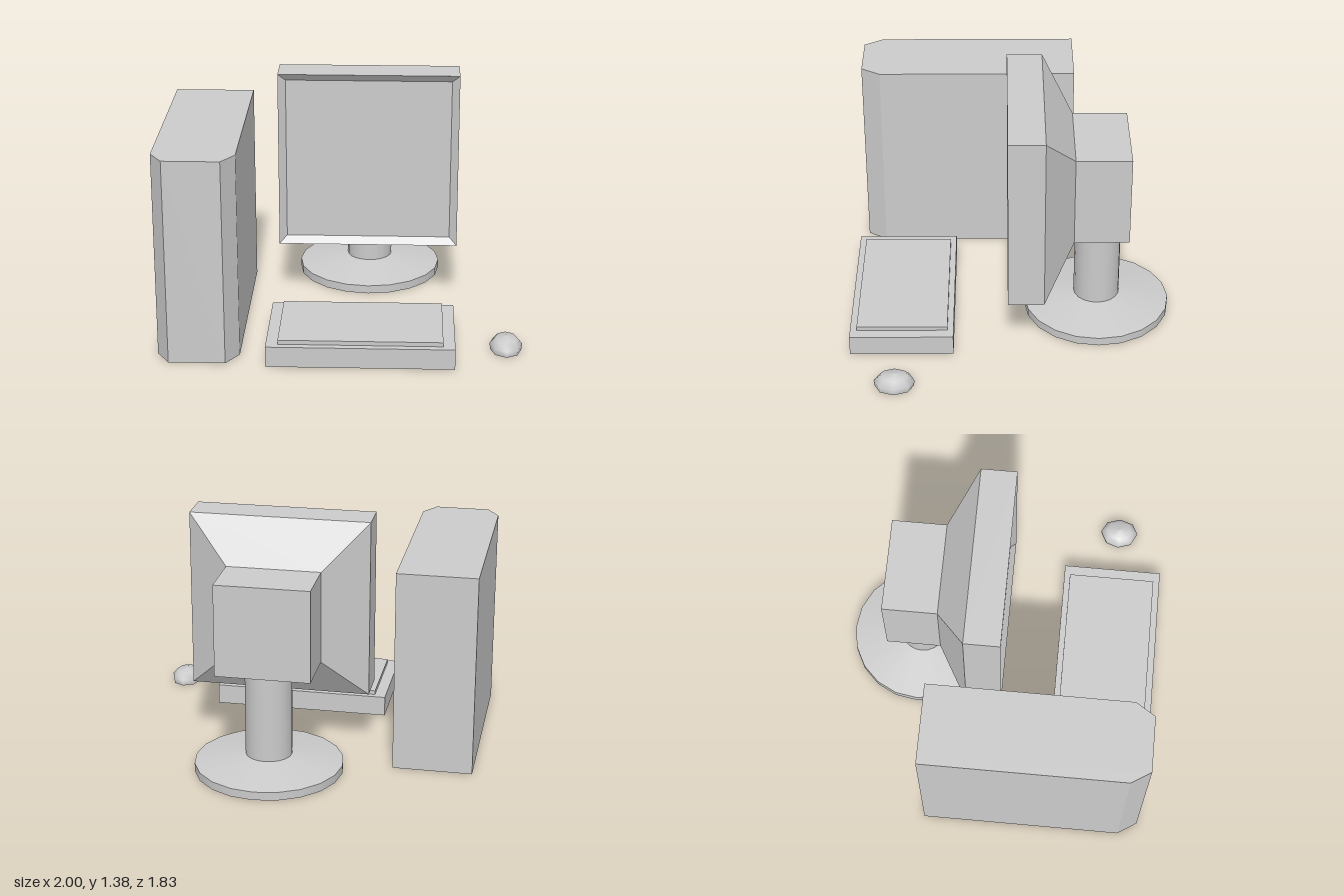
import * as THREE from 'three';

const grey = new THREE.MeshStandardMaterial({ color: 0xcccccc });

function add(parent, name, geometry, x = 0, y = 0, z = 0) {
  const mesh = new THREE.Mesh(geometry, grey);
  mesh.name = name;
  mesh.position.set(x, y, z);
  parent.add(mesh);
  return mesh;
}

// Flat-sided solid through rectangles [halfWidth, halfHeight, yCentre, z], front to back
function rectLoft(sections) {
  const rings = sections.map(([w, h, y, z]) => [
    [-w, y - h, z], [w, y - h, z], [w, y + h, z], [-w, y + h, z],
  ]);
  const points = [];
  const quad = (a, b, c, d) => points.push(...a, ...b, ...c, ...a, ...c, ...d);
  quad(...rings[0]);
  for (let s = 0; s < rings.length - 1; s++) {
    for (let i = 0; i < 4; i++) {
      const j = (i + 1) % 4;
      quad(rings[s][i], rings[s + 1][i], rings[s + 1][j], rings[s][j]);
    }
  }
  quad(...rings[rings.length - 1].slice().reverse());
  const geometry = new THREE.BufferGeometry();
  geometry.setAttribute('position', new THREE.Float32BufferAttribute(points, 3));
  geometry.computeVertexNormals();
  return geometry;
}

export function createModel() {
  const model = new THREE.Group();
  model.name = 'desktopComputer';

  // Tower case with chamfered front corners
  const plan = new THREE.Shape(
    [[-1, 0.375], [-1, -0.77], [-0.93, -0.88], [-0.62, -0.88], [-0.55, -0.77], [-0.55, 0.375]]
      .map(([x, y]) => new THREE.Vector2(x, y)));
  const tower = new THREE.ExtrudeGeometry(plan, { depth: 1.16, bevelEnabled: false });
  tower.rotateX(-Math.PI / 2);
  add(model, 'towerCase', tower);

  // Monitor: recessed screen, bezel, tapered back and rear box
  const monitor = new THREE.Group();
  monitor.name = 'monitor';
  monitor.position.x = 0.133;
  model.add(monitor);
  add(monitor, 'monitorHousing', rectLoft([
    [0.47, 0.47, 0.865, -0.01],
    [0.513, 0.512, 0.865, 0.022],
    [0.513, 0.512, 0.865, -0.18],
    [0.267, 0.265, 0.865, -0.35],
    [0.267, 0.265, 0.865, -0.66],
  ]));

  // Stand: column on a shallow conical foot
  const sides = 20;
  add(monitor, 'standColumn', new THREE.CylinderGeometry(0.132, 0.132, 0.51, sides), 0, 0.35, -0.497);
  add(monitor, 'standSlope', new THREE.CylinderGeometry(0.132, 0.42, 0.047, sides, 1, true), 0, 0.0715, -0.497);
  add(monitor, 'standFoot', new THREE.CylinderGeometry(0.42, 0.42, 0.048, sides), 0, 0.024, -0.497);

  // Keyboard with a raised key panel
  add(model, 'keyboardBody', new THREE.BoxGeometry(1.025, 0.117, 0.585), 0.113, 0.0585, 0.622);
  add(model, 'keyPanel', new THREE.BoxGeometry(0.895, 0.04, 0.513), 0.113, 0.121, 0.62);

  // Mouse: eight-sided dome stretched front to back
  const profile = [[0.95, 0], [1, 0.035], [0.68, 0.07], [0, 0.083]]
    .map(([r, y]) => new THREE.Vector2(r * 0.09, y));
  const mouse = new THREE.Group();
  mouse.name = 'mouse';
  mouse.position.set(0.91, 0, 0.65);
  mouse.scale.z = 1.26;
  model.add(mouse);
  add(mouse, 'mouseShell', new THREE.LatheGeometry(profile, 8));
  const base = new THREE.CircleGeometry(0.0855, 8);
  base.rotateX(Math.PI / 2);
  add(mouse, 'mouseBase', base);

  return model;
}
